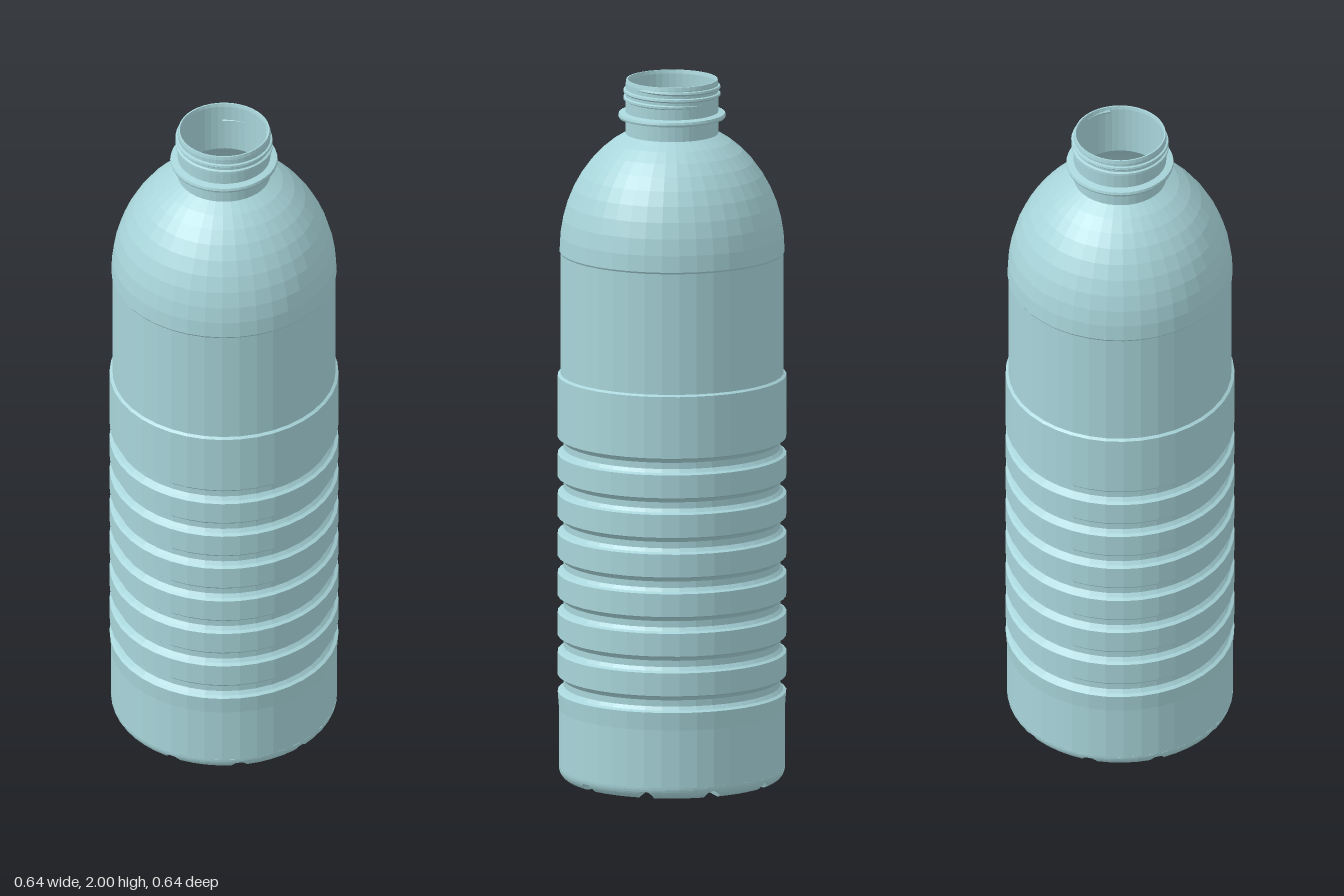
import * as THREE from 'three';

const SIDES = 40;
const material = new THREE.MeshStandardMaterial({
  color: 0xa8d5da, flatShading: true, side: THREE.DoubleSide,
});

function addMesh(group, name, geometry) {
  const mesh = new THREE.Mesh(geometry, material);
  mesh.name = name;
  group.add(mesh);
}

const lathe = (points) =>
  new THREE.LatheGeometry(points.map(([r, y]) => new THREE.Vector2(r, y)), SIDES);

// Ribbed lower body, smooth label panel and domed shoulder
function bodyProfile() {
  const p = [[0.317, 0.035], [0.317, 0.2]];
  for (let i = 0; i < 7; i++) {
    const y = 0.275 + i * 0.1133;
    p.push([0.321, y - 0.024], [0.312, y - 0.019], [0.304, y - 0.009],
      [0.304, y + 0.009], [0.312, y + 0.019], [0.321, y + 0.024]);
  }
  p.push([0.321, 1.155], [0.313, 1.16], [0.313, 1.505], [0.316, 1.51]);
  const end = Math.acos(0.13 / 0.316);
  for (let i = 1; i <= 9; i++) {
    const a = (end * i) / 9;
    p.push([0.316 * Math.cos(a), 1.51 + 0.368 * Math.sin(a)]);
  }
  return p;
}

// Neck outside, lip, then the inner wall down to the floor and its centre dome
function neckAndLiningProfile() {
  const p = [[0.13, 1.84], [0.13, 1.99], [0.128, 2], [0.124, 2], [0.122, 1.99], [0.122, 1.845]];
  const end = Math.acos(0.122 / 0.306);
  for (let i = 8; i >= 0; i--) {
    const a = (end * i) / 9;
    p.push([0.306 * Math.cos(a), 1.5 + 0.36 * Math.sin(a)]);
  }
  p.push([0.298, 1.1], [0.298, 0.06], [0.28, 0.03], [0.033, 0.03]);
  for (let i = 1; i <= 6; i++) {
    const a = (Math.PI / 2) * (i / 6);
    p.push([Math.max(0, 0.033 * Math.cos(a)), 0.03 + 0.033 * Math.sin(a)]);
  }
  return p;
}

// Underside: ten round radial channels meeting at a central dimple
function baseGeometry() {
  const channels = 10, w = 0.022, dimple = 0.033;
  const sector = (2 * Math.PI) / channels;
  const rings = [0, 0.01, 0.02, 0.028, 0.033, 0.05, 0.072, 0.13, 0.2, 0.287].map((r) => [r, 0]);
  for (let i = 1; i <= 8; i++) {
    const a = (Math.PI / 2) * (i / 8);
    rings.push([0.287 + 0.03 * Math.sin(a), 0.035 * (1 - Math.cos(a))]);
  }
  const perSector = 12, cols = channels * perSector;
  const positions = [], index = [];
  rings.forEach(([r, edgeY], j) => {
    const half = Math.min(Math.asin(Math.min(1, w / Math.max(r, w))), sector / 2);
    for (let k = 0; k <= cols; k++) {
      const s = k % perSector;
      const local = s <= 8 ? half * (s / 4 - 1)
        : half + (sector - 2 * half) * ((s - 8) / 4);
      const angle = Math.floor(k / perSector) * sector + local;
      const d = s <= 8 ? r * Math.sin(local) : w;
      const channelY = Math.sqrt(Math.max(0, w * w - d * d));
      const dimpleY = Math.sqrt(Math.max(0, dimple * dimple - r * r));
      positions.push(r * Math.cos(angle), Math.max(edgeY, channelY, dimpleY), r * Math.sin(angle));
      if (j > 0 && k > 0) {
        const d1 = j * (cols + 1) + k, c1 = d1 - 1;
        const b1 = d1 - cols - 1, a1 = b1 - 1;
        index.push(a1, c1, b1, b1, c1, d1);
      }
    }
  });
  const g = new THREE.BufferGeometry();
  g.setAttribute('position', new THREE.Float32BufferAttribute(positions, 3));
  g.setIndex(index);
  g.computeVertexNormals();
  return g;
}

// Screw thread winding around the neck
function threadGeometry() {
  const points = [], turns = 2.3, steps = 70;
  for (let i = 0; i <= steps; i++) {
    const t = i / steps, a = t * turns * 2 * Math.PI - 2.4;
    const fade = Math.min(1, t * 12, (1 - t) * 12);
    const r = 0.124 + 0.007 * fade;
    points.push(new THREE.Vector3(r * Math.cos(a), 1.94 + 0.046 * t, r * Math.sin(a)));
  }
  return new THREE.TubeGeometry(new THREE.CatmullRomCurve3(points), 100, 0.006, 6);
}

export function createModel() {
  const bottle = new THREE.Group();
  bottle.name = 'bottle';
  addMesh(bottle, 'body', lathe(bodyProfile()));
  addMesh(bottle, 'neckAndLining', lathe(neckAndLiningProfile()));
  addMesh(bottle, 'collar', lathe([[0.128, 1.888], [0.149, 1.891], [0.151, 1.897],
    [0.149, 1.904], [0.128, 1.908]]));
  addMesh(bottle, 'thread', threadGeometry());
  addMesh(bottle, 'base', baseGeometry());
  return bottle;
}
